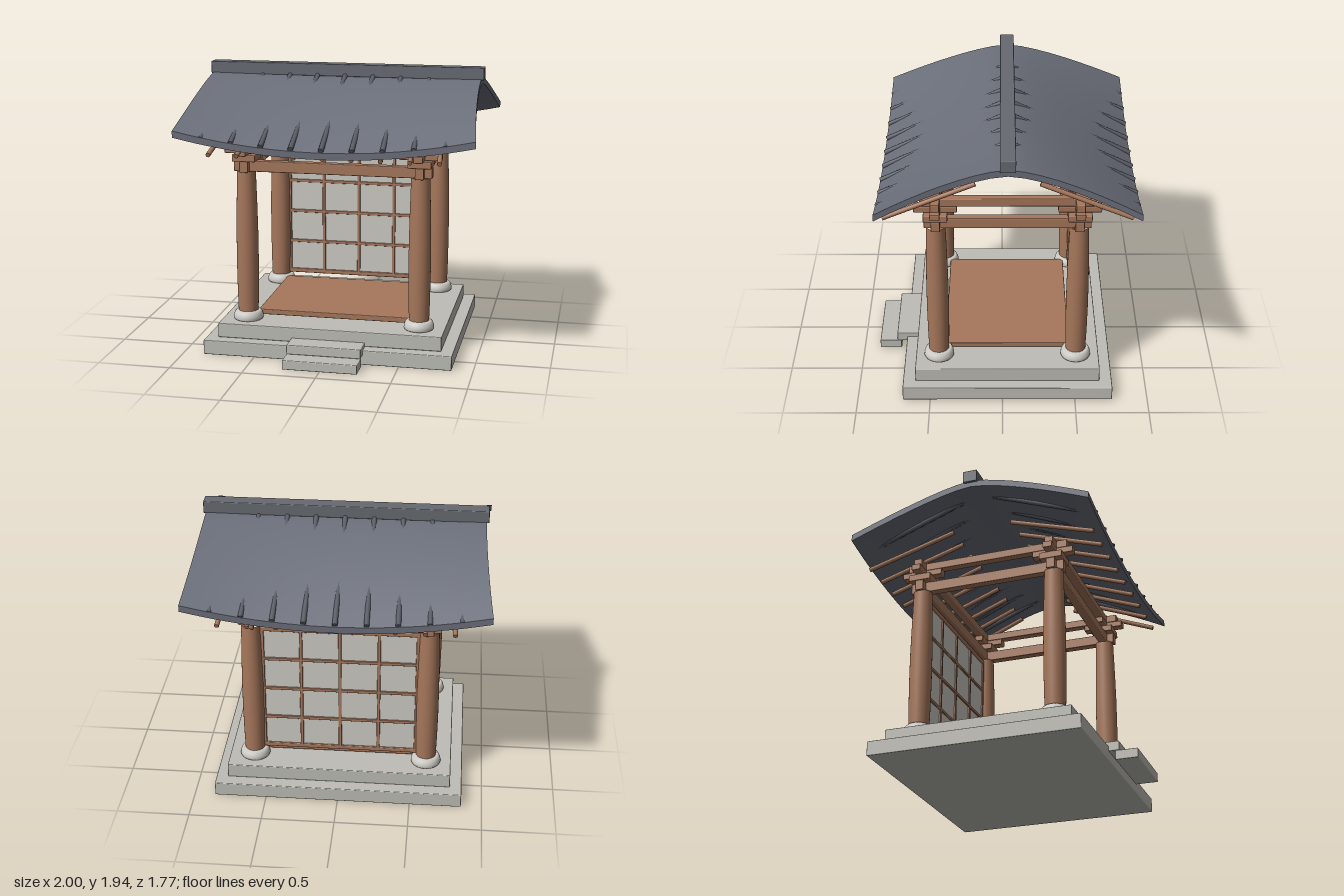
import * as THREE from 'three';
import { RoundedBoxGeometry } from 'three/addons/geometries/RoundedBoxGeometry.js';

const mat = (name, color) => {
  const m = new THREE.MeshStandardMaterial({ color });
  m.name = name;
  return m;
};

export function createModel() {
  const wood = mat('wood', 0xa6775b);
  const stone = mat('stone', 0xbebdb6);
  const paleStone = mat('pale stone', 0xcfcdc7);
  const paper = mat('paper', 0xcecbc5);
  const tile = mat('roof tile', 0x6a6e79);
  const ridgeTile = mat('ridge tile', 0x666a71);
  const ribTile = mat('rib tile', 0x585c64);

  const model = new THREE.Group();
  model.name = 'pavilion';
  const body = new THREE.Group(); // the pavilion sits slightly behind the origin; the steps reach forward
  body.name = 'pavilionBody';
  body.position.z = -0.034;
  model.add(body);

  const add = (name, geometry, material, parent = body) => {
    const mesh = new THREE.Mesh(geometry, material);
    mesh.name = name;
    parent.add(mesh);
    return mesh;
  };
  // Box given by centre x, z, bottom and top y, width and depth, with slightly eased edges
  const box = (name, material, x, z, y0, y1, w, d, parent = body) => {
    const r = Math.min(0.006, w / 5, d / 5, (y1 - y0) / 5);
    const mesh = add(name, new RoundedBoxGeometry(w, y1 - y0, d, 2, r), material, parent);
    mesh.position.set(x, (y0 + y1) / 2, z);
    return mesh;
  };
  // Round bar between two points
  const bar = (name, material, a, b, r) => {
    const dir = b.clone().sub(a);
    const mesh = add(name, new THREE.CylinderGeometry(r, r, dir.length(), 10), material);
    mesh.position.copy(a).add(b).multiplyScalar(0.5);
    mesh.quaternion.setFromUnitVectors(new THREE.Vector3(0, 1, 0), dir.normalize());
  };
  const lathe = points => new THREE.LatheGeometry(points.map(p => new THREE.Vector2(...p)), 28);

  // Stone platform, steps and floor
  box('lowerPlatform', stone, 0, 0, 0, 0.1, 1.714, 1.446);
  box('upperPlatform', stone, 0, 0, 0.1, 0.2, 1.552, 1.274);
  box('lowerStep', stone, 0, 0.808, 0, 0.065, 0.51, 0.155, model);
  box('upperStep', stone, 0, 0.683, 0.065, 0.13, 0.51, 0.155, model);
  box('floor', wood, 0, 0, 0.217, 0.254, 1.08, 0.86);

  // Columns with footing stones and cross brackets
  const PX = 0.6, PZ = 0.475;
  const footing = lathe([[0, 0.2], [0.098, 0.2], [0.104, 0.212], [0.102, 0.232], [0.094, 0.252], [0.082, 0.265], [0, 0.267]]);
  const shaft = lathe([[0.069, 0.26], [0.073, 0.4], [0.0755, 0.6], [0.075, 0.8], [0.071, 1.0], [0.067, 1.15], [0.064, 1.255]]);
  for (const sx of [-1, 1]) for (const sz of [-1, 1]) {
    const x = sx * PX, z = sz * PZ;
    add('footingStone', footing, paleStone).position.set(x, 0, z);
    add('column', shaft, wood).position.set(x, 0, z);
    box('bearingBlock', wood, x, z, 1.325, 1.373, 0.16, 0.16);
    box('bracketArmAcross', wood, x, z, 1.373, 1.417, 0.287, 0.065);
    box('bracketArmDeep', wood, x, z, 1.373, 1.417, 0.065, 0.287);
  }

  // Lower tie beams and upper roof beams
  for (const s of [-1, 1]) {
    box('tieBeamAcross', wood, 0, s * PZ, 1.25, 1.325, 1.36, 0.06);
    box('tieBeamDeep', wood, s * PX, 0, 1.25, 1.325, 0.06, 1.106);
    box('roofBeamAcross', wood, 0, s * PZ, 1.417, 1.473, 1.42, 0.06);
    box('roofBeamDeep', wood, s * PX, 0, 1.417, 1.473, 0.06, 1.156);
  }

  // Paper screen in the back bay
  const screen = new THREE.Group();
  screen.name = 'paperScreen';
  screen.position.z = -PZ;
  body.add(screen);
  box('paperSheet', paper, 0, 0, 0.3, 1.21, 1.04, 0.009, screen);
  for (let i = 0; i <= 4; i++) {
    const outer = i === 0 || i === 4, h = outer ? 0.016 : 0.011;
    const x = -0.53 + i * 0.265, y = 0.29 + i * 0.2325;
    box('screenUpright', wood, x, 0, 0.275, 1.237, h * 2, 0.03, screen);
    box('screenRail', wood, 0, 0, y - h, y + h, 1.06, 0.03, screen);
  }

  // Roof: a slab arched from ridge to eave, with the eave corners lifted and flared
  const RIDGE = 1.865, DEPTH = 0.845;
  const roofGeo = new THREE.BoxGeometry(2, 1, 2, 24, 1, 16);
  const p = roofGeo.attributes.position;
  for (let i = 0; i < p.count; i++) {
    const x = p.getX(i), z = p.getZ(i), t = Math.abs(z);
    const top = RIDGE - 0.4 * t ** 1.3 + 0.11 * x * x * t;
    p.setXYZ(i, x * (0.945 + 0.055 * t * t), top - (p.getY(i) < 0 ? 0.045 : 0), z * DEPTH);
  }
  roofGeo.computeVertexNormals();
  add('roof', roofGeo, tile);
  box('ridge', ridgeTile, 0, 0, 1.852, 1.937, 1.926, 0.1);

  // Straight tile ribs partly sunk in the roof, and rafters below it
  for (const s of [-1, 1]) for (let i = -4; i <= 4; i++) {
    const x = i * 0.195, lift = 0.012 - 0.03 * x * x;
    bar('tileRib', ribTile,
      new THREE.Vector3(x, RIDGE + lift, 0),
      new THREE.Vector3(x * 1.035, RIDGE - 0.4 + 0.11 * x * x + lift, s * 0.842), 0.018);
    bar('rafter', wood,
      new THREE.Vector3(i * 0.177, 1.633, s * 0.21),
      new THREE.Vector3(i * 0.192, 1.415, s * 0.81), 0.016);
  }
  return model;
}
